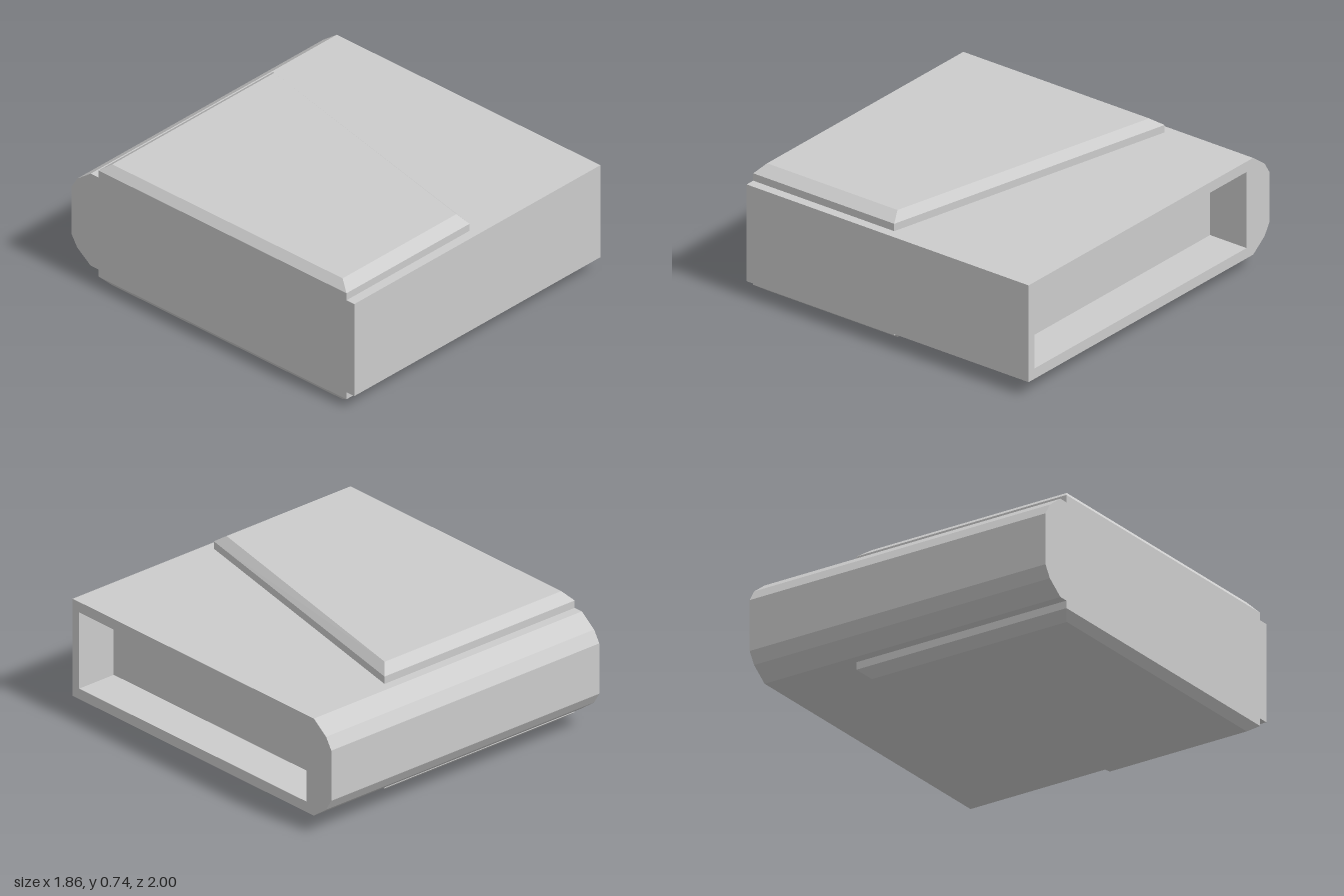
import * as THREE from 'three';

const CENTER_Y = 0.3675, HALF_BODY = 0.28, HALF_WIDTH = 0.93, POCKET_DEPTH = 0.24;

const material = new THREE.MeshStandardMaterial({ color: 0xcccccc, flatShading: true });

function addMesh(parent, name, geometry) {
  const mesh = new THREE.Mesh(geometry, material);
  mesh.name = name;
  parent.add(mesh);
  return mesh;
}

// Side profile drawn as (-z, y): square at the front, rounded at the back
function bodyProfile() {
  const back = [[0.865, HALF_BODY], [0.96, 0.21], [1, 0.145]];
  return new THREE.Shape([
    [-1, -HALF_BODY],
    ...back.map(([u, y]) => [u, -y]),
    ...[...back].reverse(),
    [-1, HALF_BODY],
  ].map(([u, y]) => new THREE.Vector2(u, y)));
}

// Extrudes a side profile across the width, from x0 to x1
function extrudeAcross(shape, x0, x1) {
  return new THREE.ExtrudeGeometry(shape, { depth: x1 - x0, bevelEnabled: false })
    .rotateY(Math.PI / 2).translate(x0, 0, 0);
}

// Raised plate with a slanted side and bevelled rim; sign -1 mirrors it downward
function plateGeometry(sign) {
  const outer = [[-0.93, 0.945], [0, 0.945], [0.39, -0.81], [-0.93, -0.81]];
  const inner = [[-0.89, 0.88], [-0.03, 0.88], [0.335, -0.75], [-0.89, -0.75]];
  const loops = [[outer, HALF_BODY], [outer, 0.3225], [inner, 0.3675]]
    .map(([pts, y]) => pts.map(([x, z]) => [x, y * sign, z]));
  const positions = [];
  const quad = (a, b, c, d) => {
    const corners = sign > 0 ? [a, b, c, a, c, d] : [a, c, b, a, d, c];
    corners.forEach((p) => positions.push(...p));
  };
  for (let k = 0; k < 2; k++) {
    for (let i = 0; i < 4; i++) {
      const j = (i + 1) % 4;
      quad(loops[k][i], loops[k][j], loops[k + 1][j], loops[k + 1][i]);
    }
  }
  quad(...loops[2]);
  const geometry = new THREE.BufferGeometry();
  geometry.setAttribute('position', new THREE.Float32BufferAttribute(positions, 3));
  geometry.computeVertexNormals();
  return geometry;
}

export function createModel() {
  const model = new THREE.Group();
  model.name = 'cartridge';
  const parts = new THREE.Group();
  parts.name = 'housing';
  parts.position.y = CENTER_Y;
  model.add(parts);

  // Solid body, closing the inner end of the pocket
  const split = HALF_WIDTH - POCKET_DEPTH;
  addMesh(parts, 'body', extrudeAcross(bodyProfile(), -HALF_WIDTH, split));

  // Open end with a rectangular pocket
  const rim = bodyProfile();
  rim.holes.push(new THREE.Path([[-0.95, -0.22], [-0.95, 0.22], [0.81, 0.22], [0.81, -0.22]]
    .map(([u, y]) => new THREE.Vector2(u, y))));
  addMesh(parts, 'pocketRim', extrudeAcross(rim, split, HALF_WIDTH));

  // Matching plates above and below
  addMesh(parts, 'topPlate', plateGeometry(1));
  addMesh(parts, 'bottomPlate', plateGeometry(-1));

  return model;
}
